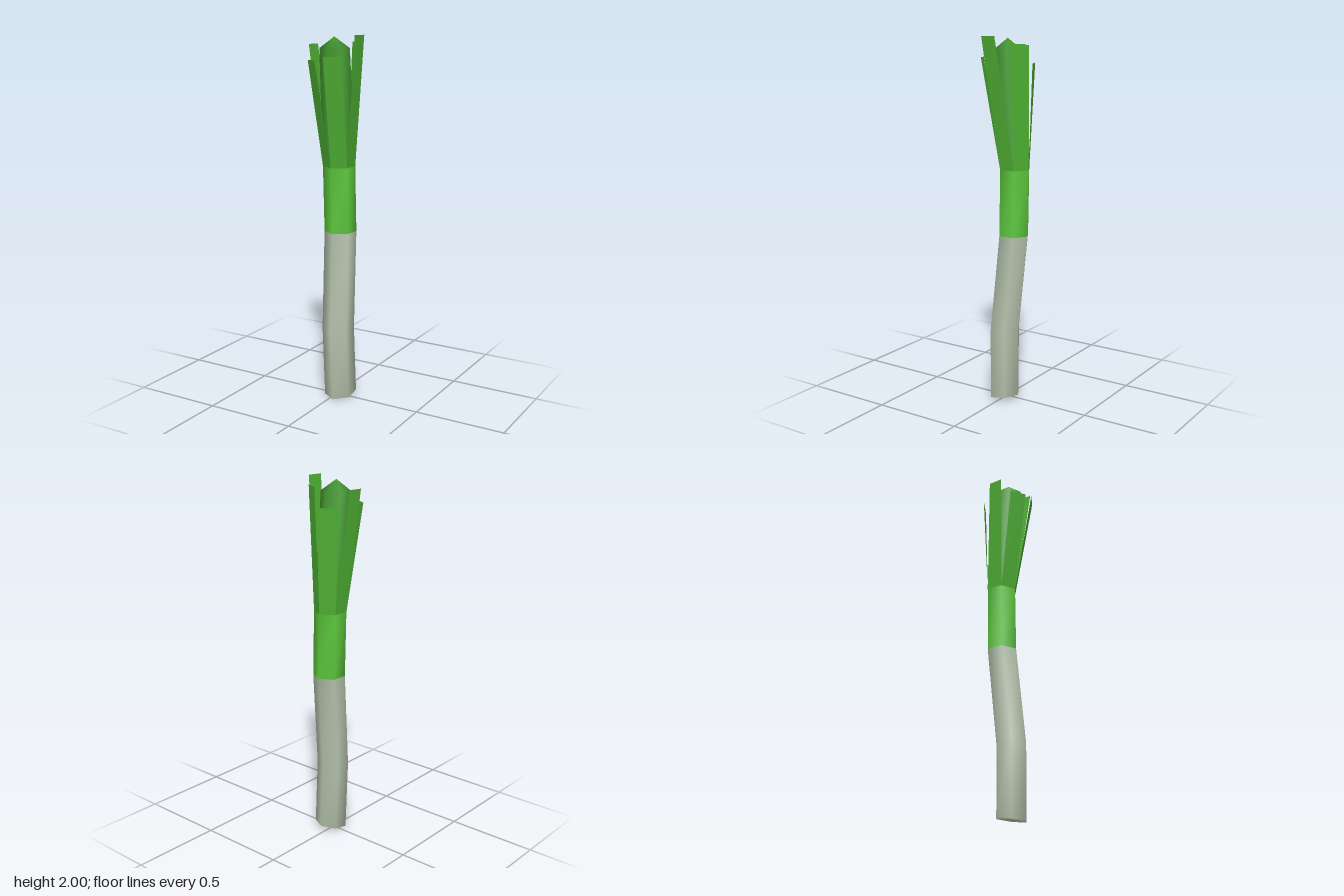
import * as THREE from 'three';

const SIDES = 6;

// One hexagonal cross-section, optionally tilted along x and z.
function ring({ x, y, z, r, tiltX = 0, tiltZ = 0 }) {
  return Array.from({ length: SIDES }, (_, i) => {
    const a = (i / SIDES) * Math.PI * 2;
    const dx = r * Math.sin(a), dz = r * Math.cos(a);
    return [x + dx, y + dx * tiltX + dz * tiltZ, z + dz];
  });
}

// Skin a stack of rings; optional centre points close the ends.
function loft(sections, bottom, top) {
  const points = sections.flatMap(ring);
  const index = [];
  for (let k = 0; k < sections.length - 1; k++) {
    for (let i = 0; i < SIDES; i++) {
      const a = k * SIDES + i, b = k * SIDES + (i + 1) % SIDES;
      index.push(a, b, b + SIDES, a, b + SIDES, a + SIDES);
    }
  }
  const cap = (centre, first, flip) => {
    const c = points.push(centre) - 1;
    for (let i = 0; i < SIDES; i++) {
      const a = first + i, b = first + (i + 1) % SIDES;
      index.push(c, flip ? b : a, flip ? a : b);
    }
  };
  if (bottom) cap(bottom, 0, true);
  if (top) cap(top, (sections.length - 1) * SIDES, false);
  return surface(points, index);
}

function surface(points, index) {
  const geometry = new THREE.BufferGeometry();
  geometry.setAttribute('position', new THREE.Float32BufferAttribute(points.flat(), 3));
  geometry.setIndex(index);
  geometry.computeVertexNormals();
  return geometry;
}

export function createModel() {
  const group = new THREE.Group();
  const add = (name, geometry, color, side = THREE.FrontSide) => {
    const mesh = new THREE.Mesh(geometry, new THREE.MeshStandardMaterial({ color, side }));
    mesh.name = name;
    group.add(mesh);
  };

  // Cross-sections along the bent stalk
  const root = { x: 0.023, y: 0.015, z: 0, r: 0.0875, tiltX: 0.06, tiltZ: -0.17 };
  const bend = { x: 0.012, y: 0.4, z: 0.007, r: 0.0875 };
  const middle = { x: -0.003, y: 0.94, z: -0.042, r: 0.0875 };
  const collar = { x: -0.012, y: 1.3, z: -0.042, r: 0.0875 };
  const tip = { x: -0.012, y: 1.93, z: 0.005, r: 0.08 };

  add('whiteStalk', loft([root, bend, middle], [0.023, 0.015, 0]), 0xb6c4ae);
  add('greenStalk', loft([middle, collar]), 0x5cc83c);
  add('core', loft([collar, tip], null, [-0.014, 1.99, 0.005]), 0x459c30);

  // Leaves: each rises from one side of the collar to its own top edge
  const tops = [
    { y: 1.89, from: [0.003, 0.147], to: [0.09, 0.105] },
    { y: 2.0, from: [0.143, 0.065], to: [0.15, -0.022] },
    { y: 1.96, from: [0.1, -0.08], to: [0.02, -0.127] },
    { y: 1.86, from: [-0.012, -0.15], to: [-0.122, -0.098] },
    { y: 1.95, from: [-0.145, -0.045], to: [-0.152, 0.035] },
    { y: 1.87, from: [-0.128, 0.085], to: [-0.052, 0.14] },
  ];
  const base = ring(collar);
  tops.forEach(({ y, from, to }, i) => {
    const points = [base[i], base[(i + 1) % SIDES], [to[0], y, to[1]], [from[0], y, from[1]]];
    add(`leaf${i + 1}`, surface(points, [0, 1, 2, 0, 2, 3]), 0x4fb034, THREE.DoubleSide);
  });

  return group;
}
